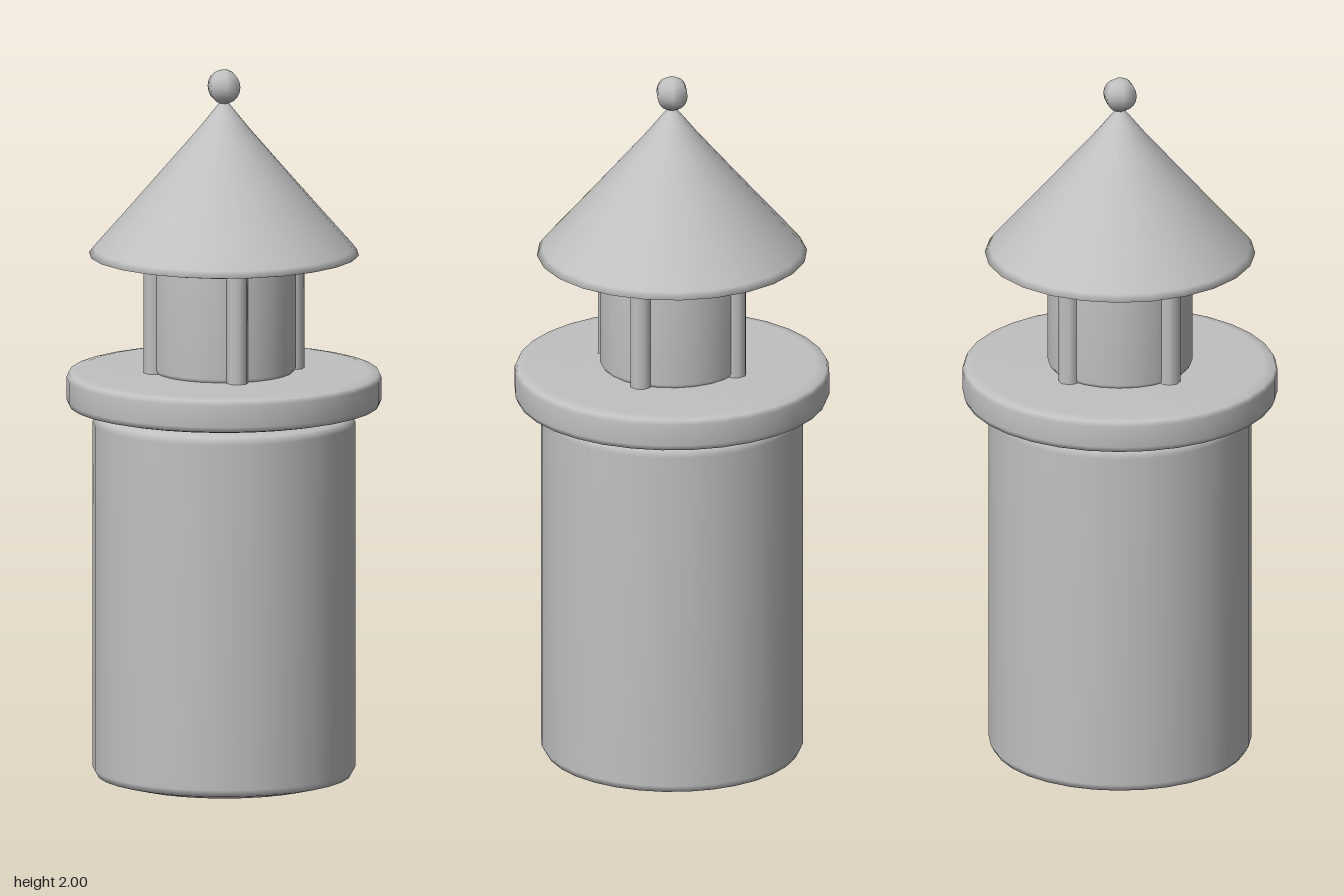
import * as THREE from 'three';

// Closed smooth solid of revolution, profile listed from bottom to top as [radius, y]
function turned(name, profile, sides, material) {
  const points = profile.map(([r, y]) => new THREE.Vector2(r, y));
  const mesh = new THREE.Mesh(new THREE.LatheGeometry(points, sides), material);
  mesh.name = name;
  return mesh;
}

export function createModel() {
  const model = new THREE.Group();
  model.name = 'lighthouse';
  const stone = new THREE.MeshStandardMaterial({ color: 0xc0c0c0 });
  stone.name = 'plain grey';

  // Tower with bevelled foot and shoulder
  model.add(turned('tower', [
    [0, 0], [0.29, 0.004], [0.352, 0.02], [0.363, 0.04],
    [0.363, 1.01], [0.352, 1.03], [0.29, 1.05], [0, 1.06],
  ], 32, stone));

  // Gallery platform
  model.add(turned('gallery', [
    [0, 1.052], [0.40, 1.053], [0.43, 1.06], [0.436, 1.075],
    [0.436, 1.135], [0.43, 1.148], [0.40, 1.154], [0, 1.155],
  ], 32, stone));

  // Lantern room
  model.add(turned('lanternRoom', [
    [0, 1.145], [0.19, 1.15], [0.2, 1.165], [0.2, 1.465], [0.19, 1.48], [0, 1.485],
  ], 24, stone));

  // Four posts around the lantern
  const postGeometry = new THREE.CylinderGeometry(0.03, 0.03, 0.335, 8);
  for (let i = 0; i < 4; i++) {
    const angle = i * Math.PI / 2;
    const post = new THREE.Mesh(postGeometry, stone);
    post.name = 'lanternPost' + (i + 1);
    post.position.set(0.196 * Math.sin(angle), 1.3175, 0.196 * Math.cos(angle));
    model.add(post);
  }

  // Conical roof with thin rim
  model.add(turned('roof', [
    [0, 1.478], [0.355, 1.478], [0.374, 1.482], [0.36, 1.5],
    [0.25, 1.626], [0.143, 1.75], [0.07, 1.835], [0.004, 1.918], [0, 1.92],
  ], 24, stone));

  // Ball finial with six sides
  const finial = new THREE.Mesh(new THREE.SphereGeometry(0.048, 6, 10), stone);
  finial.name = 'finial';
  finial.rotation.y = Math.PI / 6;
  finial.position.y = 1.952;
  model.add(finial);

  return model;
}
